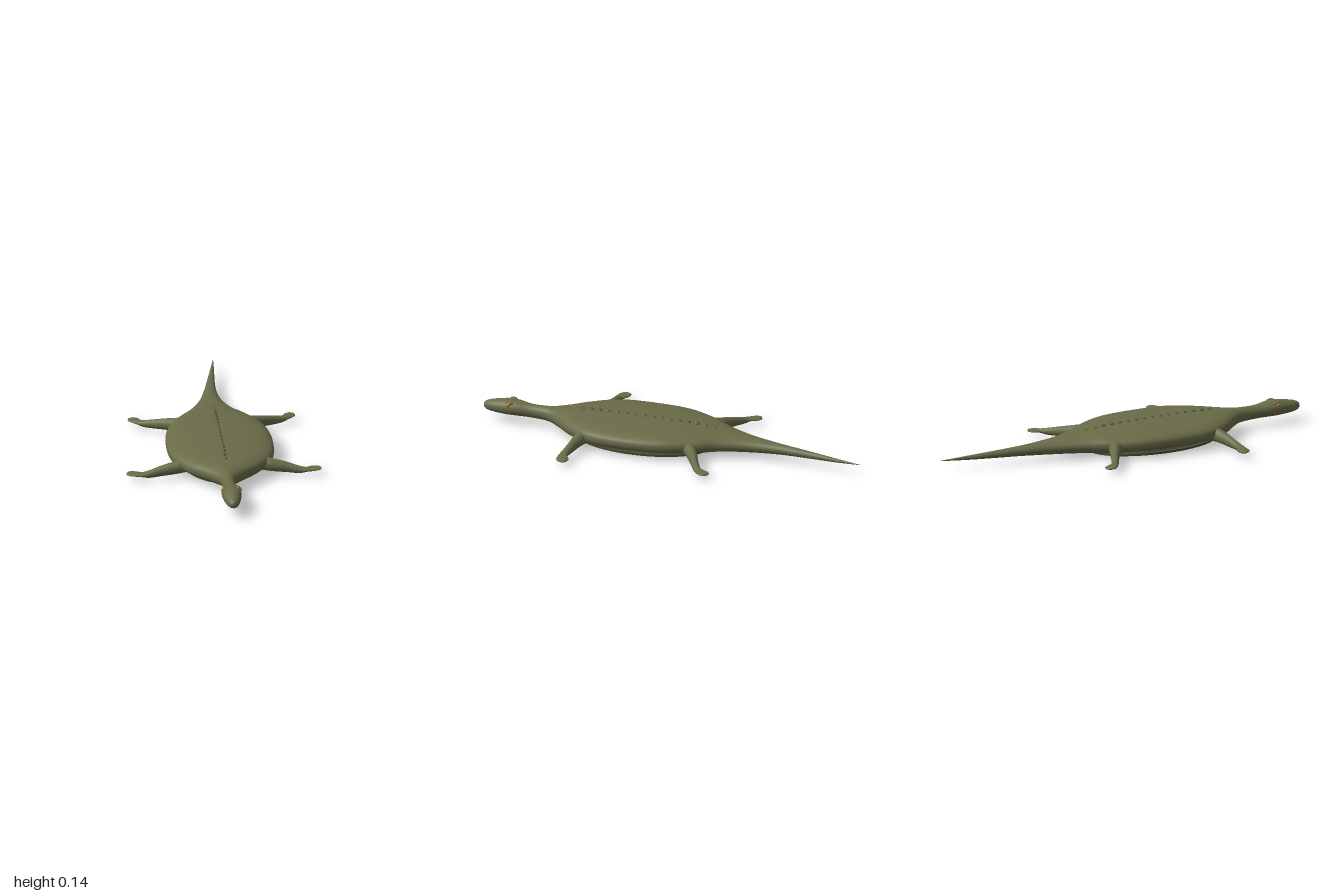
import * as THREE from 'three';

const skin = new THREE.MeshStandardMaterial({ name: 'olive skin', color: 0x696b48 });
const ridge = new THREE.MeshStandardMaterial({ name: 'dark olive ridge', color: 0x5c5e40 });
const dark = new THREE.MeshStandardMaterial({ name: 'dark base', color: 0x474832 });
const amber = new THREE.MeshStandardMaterial({ name: 'amber eye', color: 0xb8741a });

// Smooth skin through sections [x, y, z, halfWidth, halfHeight, squareness]
function loft(sections, steps, sides) {
  const path = new THREE.CatmullRomCurve3(sections.map(s => new THREE.Vector3(s[0], s[1], s[2])), false, 'catmullrom', 0.5);
  const size = new THREE.CatmullRomCurve3(sections.map(s => new THREE.Vector3(s[3], s[4], s[5] ?? 2)), false, 'catmullrom', 0.5);
  const up = new THREE.Vector3(0, 1, 0);
  const side = new THREE.Vector3();
  const position = [], index = [];
  for (let i = 0; i <= steps; i++) {
    const c = path.getPoint(i / steps);
    const r = size.getPoint(i / steps);
    side.crossVectors(up, path.getTangent(i / steps)).normalize();
    for (let j = 0; j < sides; j++) {
      const a = (j / sides) * Math.PI * 2;
      const bend = v => Math.sign(v) * Math.pow(Math.abs(v), 2 / r.z);
      const u = bend(Math.cos(a)) * Math.max(r.x, 0.0005);
      const v = bend(Math.sin(a)) * Math.max(r.y, 0.0005);
      position.push(c.x + side.x * u, c.y + v, c.z + side.z * u);
      if (i < steps) {
        const k = (j + 1) % sides;
        const p = i * sides + j, q = i * sides + k;
        index.push(p, q, q + sides, p, q + sides, p + sides);
      }
    }
  }
  const g = new THREE.BufferGeometry();
  g.setAttribute('position', new THREE.Float32BufferAttribute(position, 3));
  g.setIndex(index);
  g.computeVertexNormals();
  return g;
}

export function createModel() {
  const model = new THREE.Group();
  model.name = 'lizard';

  const add = (name, geometry, material, x = 0, y = 0, z = 0) => {
    const mesh = new THREE.Mesh(geometry, material);
    mesh.name = name;
    mesh.position.set(x, y, z);
    model.add(mesh);
    return mesh;
  };
  const bead = (name, material, x, y, z, sx, sy, sz) =>
    add(name, new THREE.SphereGeometry(1, 16, 10), material, x, y, z).scale.set(sx, sy, sz);

  // Tail, trunk, neck and head in one skin, from tail tip to snout
  add('body', loft([
    [0.068, 0.053, -0.985, 0.001, 0.001, 2],
    [0.052, 0.053, -0.85, 0.010, 0.010, 2],
    [0.033, 0.055, -0.70, 0.019, 0.018, 2],
    [0.017, 0.057, -0.55, 0.032, 0.026, 2],
    [0.007, 0.059, -0.40, 0.060, 0.037, 2],
    [0.001, 0.063, -0.26, 0.113, 0.047, 2.2],
    [0, 0.067, -0.15, 0.182, 0.054, 2.4],
    [0, 0.070, 0.00, 0.245, 0.057, 2.6],
    [0, 0.070, 0.18, 0.263, 0.058, 2.6],
    [0, 0.070, 0.36, 0.246, 0.057, 2.6],
    [0, 0.068, 0.49, 0.178, 0.053, 2.4],
    [0, 0.068, 0.59, 0.088, 0.045, 2.2],
    [0, 0.071, 0.66, 0.040, 0.037, 2],
    [0, 0.074, 0.75, 0.033, 0.034, 2],
    [0, 0.080, 0.82, 0.045, 0.039, 2],
    [0, 0.081, 0.87, 0.048, 0.039, 2.1],
    [0, 0.078, 0.93, 0.040, 0.033, 2.1],
    [0, 0.076, 0.975, 0.027, 0.025, 2.1],
    [0, 0.075, 0.995, 0.014, 0.014, 2],
    [0, 0.075, 1.0, 0.001, 0.001, 2],
  ], 152, 48), skin);

  for (const s of [1, -1]) {
    const label = s > 0 ? 'left' : 'right';

    // Legs ending in flat, paddle-like feet
    add(label + 'FrontLeg', loft([
      [s * 0.15, 0.065, 0.39, 0.040, 0.038],
      [s * 0.23, 0.055, 0.42, 0.030, 0.033],
      [s * 0.31, 0.043, 0.433, 0.022, 0.026],
      [s * 0.37, 0.032, 0.443, 0.020, 0.018],
      [s * 0.405, 0.031, 0.443, 0.023, 0.010],
      [s * 0.445, 0.031, 0.430, 0.031, 0.007],
      [s * 0.470, 0.031, 0.422, 0.022, 0.006],
      [s * 0.478, 0.031, 0.419, 0.001, 0.001],
    ], 42, 20), skin);
    add(label + 'HindLeg', loft([
      [s * 0.14, 0.063, -0.11, 0.040, 0.038],
      [s * 0.21, 0.052, -0.158, 0.028, 0.031],
      [s * 0.28, 0.040, -0.198, 0.020, 0.024],
      [s * 0.335, 0.031, -0.230, 0.018, 0.017],
      [s * 0.360, 0.031, -0.250, 0.021, 0.010],
      [s * 0.382, 0.031, -0.280, 0.029, 0.007],
      [s * 0.393, 0.031, -0.300, 0.020, 0.006],
      [s * 0.396, 0.031, -0.307, 0.001, 0.001],
    ], 42, 20), skin);

    // Face
    bead(label + 'Eye', amber, s * 0.042, 0.102, 0.86, 0.009, 0.010, 0.012);
    bead(label + 'Brow', skin, s * 0.034, 0.110, 0.857, 0.011, 0.009, 0.02);
    bead(label + 'Nostril', dark, s * 0.016, 0.080, 0.983, 0.005, 0.004, 0.005);
  }

  // Row of beads along the spine
  for (let i = 0; i < 16; i++) {
    const z = -0.2 + i * 0.046;
    const y = 0.125 - 0.35 * Math.max(0, Math.abs(z - 0.17) - 0.25) ** 1.5;
    bead('spineBead' + (i + 1), ridge, 0, y, z, 0.012, 0.010, 0.016);
  }

  // Flat oval base joined to the belly
  add('base', new THREE.CylinderGeometry(1, 1, 0.01, 64), dark, 0, 0.005, 0.168).scale.set(0.203, 1, 0.346);
  add('bellyPad', new THREE.CylinderGeometry(1, 1, 0.008, 48), skin, 0, 0.013, 0.168).scale.set(0.18, 1, 0.31);

  return model;
}
